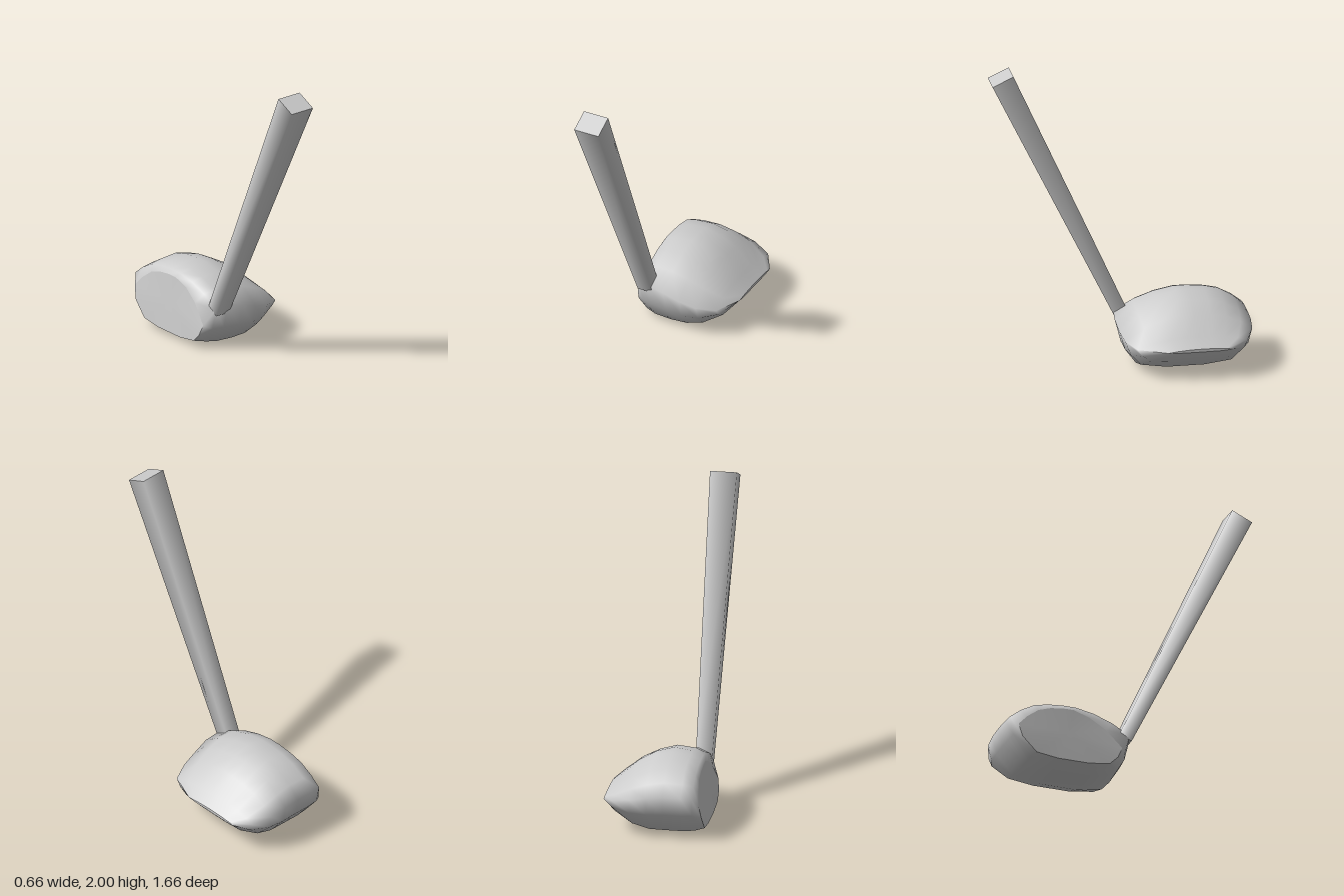
import * as THREE from 'three';

// head stations along x: [x, front z, back z, front girdle y, back girdle y, top y, bottom y]
const STATIONS = [
  [-0.33, -0.07, -0.78, 0.18, 0.24, 0.41, 0.03],
  [-0.27, 0.00, -0.825, 0.30, 0.30, 0.44, 0.01],
  [-0.20, 0.03, -0.83, 0.32, 0.30, 0.465, 0.0],
  [-0.08, 0.04, -0.83, 0.30, 0.30, 0.48, 0.0],
  [0.03, 0.03, -0.83, 0.26, 0.29, 0.45, 0.005],
  [0.14, 0.01, -0.82, 0.23, 0.27, 0.39, 0.04],
  [0.26, -0.05, -0.77, 0.215, 0.24, 0.28, 0.12],
  [0.33, -0.24, -0.66, 0.205, 0.21, 0.22, 0.2],
];

// unit section, front to back over the crown, then back under the sole: [along z, height]
const SECTION = [
  [1, 0], [0.7, 0.5], [0.4, 0.82], [0.1, 0.99], [-0.1, 0.99], [-0.35, 0.93], [-0.59, 0.78], [-0.82, 0.42],
  [-1, 0], [-0.94, -0.42], [-0.67, -0.9], [-0.25, -1], [0.35, -1], [0.75, -0.87], [0.91, -0.5],
];

function sectionPoints([x, zf, zb, yf, yb, top, bottom], first) {
  return SECTION.map(([u, v]) => {
    const z = (zf + zb) / 2 + (u * (zf - zb)) / 2;
    const base = yb + ((yf - yb) * (u + 1)) / 2;
    const y = base + v * (v > 0 ? top - base : base - bottom);
    // the striking face leans back above its lower part
    const lean = first ? 0.04 * THREE.MathUtils.clamp((y - 0.12) / 0.25, 0, 1) : 0;
    return [x + lean, y, z];
  });
}

function surface(points, index) {
  const g = new THREE.BufferGeometry();
  g.setAttribute('position', new THREE.Float32BufferAttribute(points.flat(), 3));
  g.setIndex(index);
  g.computeVertexNormals();
  return g;
}

// fan that closes a loop
function cap(loop, flip) {
  const n = loop.length;
  const centre = [0, 1, 2].map((k) => loop.reduce((s, p) => s + p[k], 0) / n);
  const index = [];
  for (let i = 0; i < n; i++) {
    const j = (i + 1) % n;
    index.push(n, flip ? j : i, flip ? i : j);
  }
  return surface([...loop, centre], index);
}

export function createModel() {
  const group = new THREE.Group();
  const material = new THREE.MeshStandardMaterial({ color: 0xcccccc });
  const add = (name, geometry) => {
    const mesh = new THREE.Mesh(geometry, material);
    mesh.name = name;
    group.add(mesh);
    return mesh;
  };

  // club head shell
  const loops = STATIONS.map((s, i) => sectionPoints(s, i === 0));
  const n = SECTION.length;
  const index = [];
  for (let s = 0; s < loops.length - 1; s++) {
    for (let i = 0; i < n; i++) {
      const j = (i + 1) % n;
      const a = s * n + i, b = s * n + j, c = b + n, d = a + n;
      index.push(a, d, b, b, d, c);
    }
  }
  add('headShell', surface(loops.flat(), index));
  add('strikingFace', cap(loops[0], false));
  add('headRearEdge', cap(loops[loops.length - 1], true));

  // tapered four-sided shaft, leaning forward
  const bottom = new THREE.Vector3(-0.225, 0.28, -0.03);
  const top = new THREE.Vector3(-0.225, 1.968, 0.76);
  const shaftGeometry = new THREE.CylinderGeometry(0.124, 0.075, bottom.distanceTo(top), 4, 1, false, Math.PI / 4);
  shaftGeometry.scale(1, 1, 0.86);
  const shaft = add('shaft', shaftGeometry);
  shaft.position.copy(bottom).lerp(top, 0.5);
  shaft.rotation.x = Math.atan2(top.z - bottom.z, top.y - bottom.y);

  return group;
}
